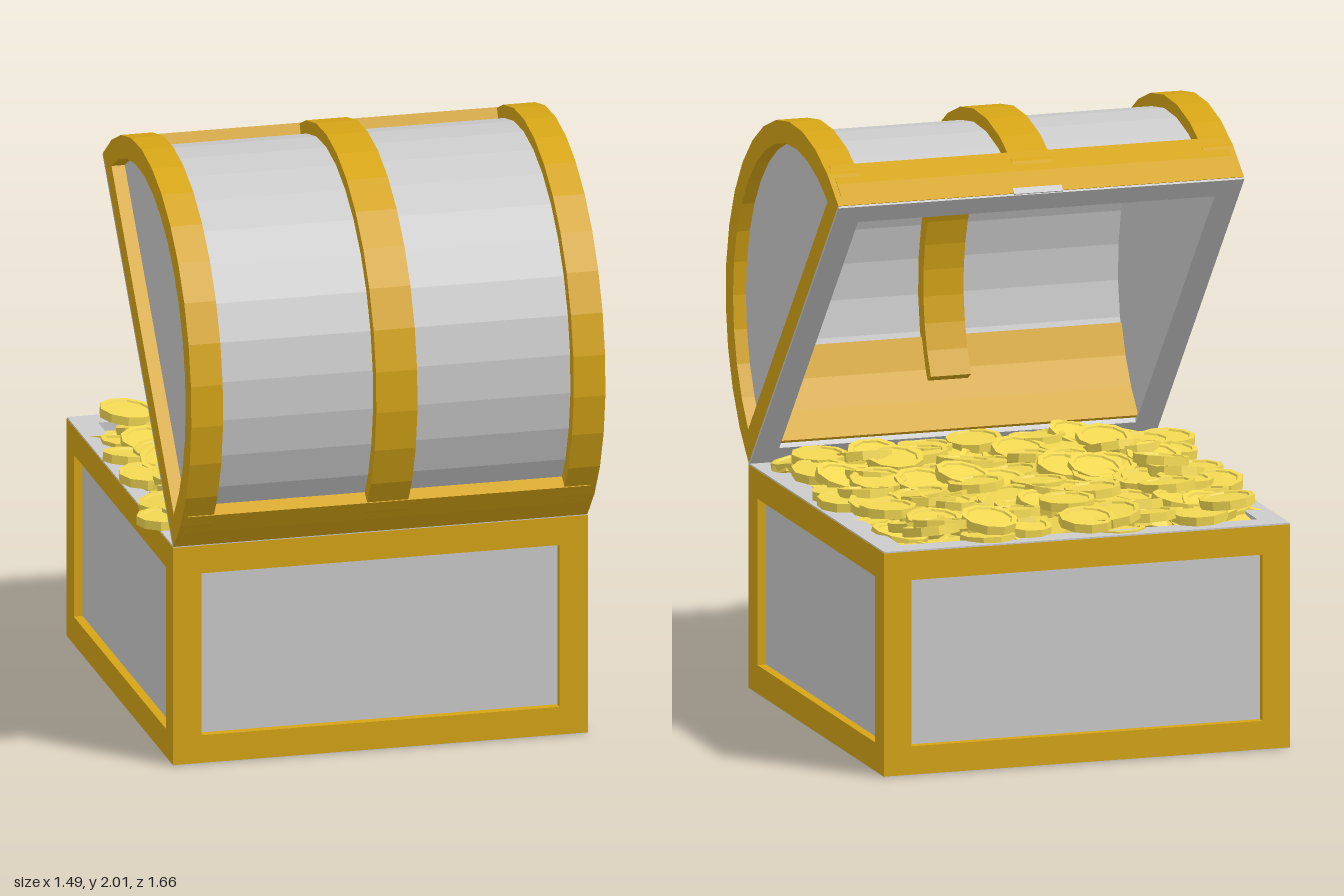
import * as THREE from 'three';

const gold = new THREE.MeshStandardMaterial({ color: 0xd6a516, flatShading: true });
const coinGold = new THREE.MeshStandardMaterial({ color: 0xf2d852, flatShading: true, side: THREE.DoubleSide });
const grey = new THREE.MeshStandardMaterial({ color: 0xcccccc, flatShading: true });

const W = 1.41, D = 1.42, H = 0.76, R = 0.712, CX = 0.025;

function add(parent, name, geometry, material, x = 0, y = 0, z = 0) {
  const mesh = new THREE.Mesh(geometry, material);
  mesh.name = name;
  mesh.position.set(x, y, z);
  parent.add(mesh);
  return mesh;
}

const box = (w, h, d) => new THREE.BoxGeometry(w, h, d);
const extrude = (shape, depth) => new THREE.ExtrudeGeometry(shape, { depth, bevelEnabled: false });

function rect(w, h) {
  return [[-w / 2, -h / 2], [w / 2, -h / 2], [w / 2, h / 2], [-w / 2, h / 2]].map(p => new THREE.Vector2(...p));
}

// Rectangular frame in the xy plane, extruded along +z
function frame(w, h, border, depth) {
  const shape = new THREE.Shape(rect(w, h));
  shape.holes.push(new THREE.Path(rect(w - 2 * border, h - 2 * border)));
  return extrude(shape, depth);
}

// Points on an arc in the (z, y) plane, in degrees
function arc(r, a0, a1, n) {
  return Array.from({ length: n + 1 }, (_, i) => {
    const a = THREE.MathUtils.degToRad(a0 + (a1 - a0) * i / n);
    return new THREE.Vector2(r * Math.cos(a), r * Math.sin(a));
  });
}

// Extrudes a (z, y) outline across x0..x1
function across(shape, x0, x1) {
  return extrude(shape, x1 - x0).rotateY(-Math.PI / 2).translate(x1, 0, 0);
}

function curvedBand(r0, r1, a0, a1, x0, x1, n = 16) {
  return across(new THREE.Shape([...arc(r1, a0, a1, n), ...arc(r0, a1, a0, n)]), x0, x1);
}

// Half-disc outline with its flat side at height y0
function halfDisc(r, y0) {
  const a = THREE.MathUtils.radToDeg(Math.asin(y0 / r));
  return arc(r, a, 180 - a, 16);
}

function makeBase() {
  const base = new THREE.Group();
  base.name = 'base';
  const t = 0.03, wall = 0.05;
  add(base, 'bottom', box(W, 0.05, D), grey, 0, 0.025, 0);
  for (const s of [-1, 1]) {
    // Recessed panels behind raised gold frames
    add(base, 'endWall', box(W - 2 * t, H - 0.02, wall), grey, 0, H / 2, s * (D / 2 - t - wall / 2));
    add(base, 'sideWall', box(wall, H - 0.02, D - 2 * t), grey, s * (W / 2 - t - wall / 2), H / 2, 0);
    const front = add(base, 'panelFrame', frame(W + 0.002, H - 0.006, 0.096, t), gold, 0, H / 2, s * (D / 2 - t + 0.001));
    const side = add(base, 'panelFrame', frame(D + 0.002, H - 0.006, 0.096, t), gold, s * (W / 2 - t + 0.001), H / 2, 0);
    if (s < 0) {
      front.rotation.y = Math.PI;
    }
    side.rotation.y = s * Math.PI / 2;
  }
  add(base, 'rim', frame(W, D, 0.085, 0.012).rotateX(Math.PI / 2), grey, 0, H + 0.002, 0);
  base.position.set(CX, 0, -0.12);
  return base;
}

function makeLid() {
  const lid = new THREE.Group();
  lid.name = 'lid';
  const x = W / 2;
  add(lid, 'barrel', curvedBand(0.625, 0.668, 0, 180, -x + 0.06, x - 0.06), grey);

  // Ends: raised half-round frame, recessed panel and arched band
  for (const s of [-1, 1]) {
    const span = (a, b) => s > 0 ? [a, b] : [-b, -a];
    const end = new THREE.Shape(halfDisc(R, 0));
    end.holes.push(new THREE.Path(halfDisc(0.635, 0.08)));
    add(lid, 'endFrame', across(end, ...span(x - 0.045, x)), gold);
    add(lid, 'endPanel', across(new THREE.Shape(halfDisc(0.66, 0)), ...span(x - 0.075, x - 0.045)), grey);
    add(lid, 'endBand', curvedBand(0.64, R, 0, 180, ...span(x - 0.108, x - 0.02)), gold);
  }

  // Middle band, outside and inside
  add(lid, 'middleBand', curvedBand(0.65, R, 0, 180, -0.075, 0.065), gold);
  add(lid, 'innerBand', curvedBand(0.57, 0.64, 18, 162, -0.075, 0.065), gold);

  // Strips along both long edges
  add(lid, 'hingeStrip', curvedBand(0.65, R, 0, 15, -x + 0.02, x - 0.02, 2), gold);
  add(lid, 'openingStrip', curvedBand(0.65, R, 165, 180, -x + 0.02, x - 0.02, 2), gold);
  add(lid, 'hingeLining', curvedBand(0.612, 0.64, 1, 32, -x + 0.07, x - 0.07, 3), gold);
  add(lid, 'latchPlate', box(0.17, 0.025, 0.012), grey, 0.01, 0.008, -R + 0.004);
  add(lid, 'rim', frame(W, D, 0.085, 0.01).rotateX(Math.PI / 2), grey, 0, 0.002, 0);

  lid.position.set(CX, 1.295, 0.12);
  lid.rotation.x = THREE.MathUtils.degToRad(48.7);
  return lid;
}

function makeCoins() {
  const coins = new THREE.Group();
  coins.name = 'coins';
  let seed = 7;
  const rand = () => (seed = (seed * 16807) % 2147483647) / 2147483647;
  const jitter = a => (rand() * 2 - 1) * a;

  // Ten-sided coin with a raised rim
  const profile = [[0, -0.009], [0.074, -0.009], [0.077, -0.015], [0.095, -0.015],
    [0.095, 0.015], [0.077, 0.015], [0.074, 0.009], [0, 0.009]].map(p => new THREE.Vector2(...p));
  const coinGeometry = new THREE.LatheGeometry(profile, 10);
  function coin(x, y, z, tilt) {
    const mesh = add(coins, 'coin', coinGeometry, coinGold, x, y, z);
    mesh.rotation.set(jitter(tilt), rand() * 6.28, jitter(tilt));
  }

  add(coins, 'coinBed', box(W - 0.17, 0.64, D - 0.17), coinGold, CX, 0.38, -0.12);
  // Jittered layers of loose coins
  for (let layer = 0; layer < 2; layer++) {
    for (let i = 0; i < 9; i++) {
      for (let j = 0; j < 10; j++) {
        const px = CX + (i - 4) * 0.138 + jitter(0.05);
        const pz = -0.69 + j * 0.13 + jitter(0.04);
        coin(px, 0.745 + layer * 0.055 + jitter(0.02), Math.min(pz, 0.46), layer ? 0.22 : 0.35);
      }
    }
  }
  // Coins lying over the side edges
  for (const [px, pz] of [[-0.655, 0.38], [-0.61, 0.22], [-0.6, -0.08], [-0.6, -0.29], [0.645, -0.17]]) {
    coin(px, 0.79, pz, 0.12);
  }
  return coins;
}

export function createModel() {
  const chest = new THREE.Group();
  chest.name = 'treasureChest';
  chest.add(makeBase(), makeLid(), makeCoins());
  return chest;
}
